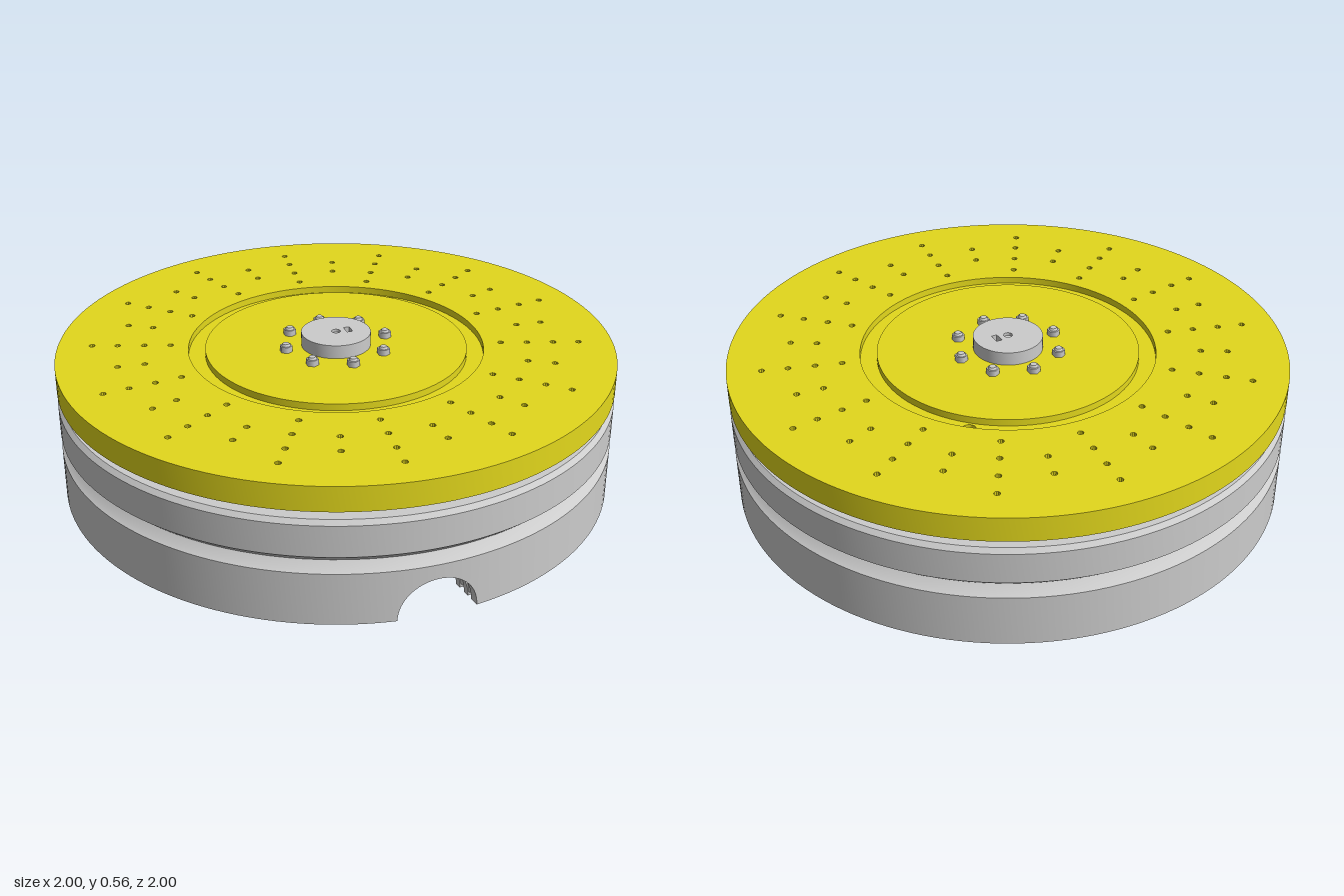
import * as THREE from 'three';
import { mergeGeometries, toCreasedNormals } from 'three/addons/utils/BufferGeometryUtils.js';

const mat = (color) => new THREE.MeshStandardMaterial({ color });

// Points of a circle, for outlines and holes
function ring(r, n, cx = 0, cy = 0) {
  return Array.from({ length: n }, (_, i) => {
    const a = (i / n) * Math.PI * 2;
    return new THREE.Vector2(cx + r * Math.cos(a), cy + r * Math.sin(a));
  });
}

// Flat plate lying in xz, from y0 to y1, with holes given as point lists
function plate(outline, holes, y0, y1) {
  const shape = new THREE.Shape(outline);
  holes.forEach((h) => shape.holes.push(new THREE.Path(h)));
  const g = new THREE.ExtrudeGeometry(shape, { depth: y1 - y0, bevelEnabled: false });
  g.rotateX(-Math.PI / 2).translate(0, y0, 0);
  return toCreasedNormals(g, 0.5);
}

export function createModel() {
  const model = new THREE.Group();
  const grey = mat(0xcccccc);
  const yellow = mat(0xe3d81c);
  const black = mat(0x222222);
  const tan = mat(0xdcb86c);

  function add(name, geometry, material, parent = model) {
    const mesh = new THREE.Mesh(geometry, material);
    mesh.name = name;
    parent.add(mesh);
    return mesh;
  }
  function cyl(name, r, y0, y1, x, z, material = grey, sides = 20, rTop = r) {
    const m = add(name, new THREE.CylinderGeometry(rTop, r, y1 - y0, sides), material);
    m.position.set(x, (y0 + y1) / 2, z);
    return m;
  }

  // Base housing: turned profile with a V groove and an arched cable opening in front
  const profile = [
    [0, 0.24], [0.87, 0.24], [0.87, 0], [0.895, 0], [0.895, 0.018], [0.92, 0.018], [0.92, 0],
    [0.945, 0], [0.945, 0.018], [0.965, 0.018], [0.965, 0], [1, 0], [1, 0.19], [0.985, 0.2],
    [0.967, 0.222], [1, 0.252], [1, 0.365], [0.985, 0.38], [0, 0.38],
  ].map(([r, y]) => new THREE.Vector2(r, y));
  const archR = 0.137;
  const archSteps = 36;
  const front = new THREE.LatheGeometry(profile, archSteps, -archR, archR * 2);
  const p = front.attributes.position;
  for (let i = 0; i < p.count; i++) {
    const column = Math.floor(i / profile.length);
    const point = profile[i % profile.length];
    const t = (column / archSteps) * Math.PI;
    const phi = -archR * Math.cos(t);
    const lift = point.y < 0.05 ? archR * Math.sin(t) : 0;
    p.setXYZ(i, point.x * Math.sin(phi), point.y + lift, point.x * Math.cos(phi));
  }
  const rest = new THREE.LatheGeometry(profile, 140, archR, Math.PI * 2 - archR * 2);
  add('baseHousing', toCreasedNormals(mergeGeometries([front, rest]), 0.4), grey);

  // Platter: drilled outer ring, groove floor and inner disc
  const drill = [];
  for (let i = 0; i < 28; i++) {
    const a = THREE.MathUtils.degToRad(5 + (i * 360) / 28);
    const radii = i % 2 ? [0.69, 0.785] : [0.595, 0.69, 0.785, 0.877];
    radii.forEach((r) => drill.push(ring(0.011, 10, r * Math.sin(a), r * Math.cos(a))));
  }
  const platter = new THREE.Group();
  platter.name = 'platter';
  model.add(platter);
  const low = 0.415, top = 0.505;
  add('outerRing', plate(ring(1, 144), [ring(0.53, 96), ...drill], low, top), yellow, platter);
  add('grooveFloor', plate(ring(0.53, 96), [ring(0.47, 96), ring(0.024, 20, 0.345, 0.365)],
    low, 0.48), yellow, platter);
  add('innerDisc', plate(ring(0.47, 96), [], low, top), yellow, platter);
  cyl('groovePin', 0.014, 0.38, 0.47, 0.345, -0.365);

  // Hub cap with centre screw and key slot, on the drive shaft
  const cap = plate(ring(0.125, 64),
    [ring(0.016, 20), [[0.035, -0.02], [0.057, -0.02], [0.057, 0.02], [0.035, 0.02]]
      .map(([x, y]) => new THREE.Vector2(x, y))], top, 0.555);
  add('hubCap', cap, grey);
  cyl('hubFloor', 0.12, 0.5, 0.53, 0, 0, grey, 48);
  cyl('driveShaft', 0.014, 0.375, 0.545, 0, 0);

  // Eight bolts around the hub, with domed heads above and nuts below,
  // repeated under the motor mount
  for (let i = 0; i < 8; i++) {
    const a = (i * Math.PI) / 4;
    const x = 0.188 * Math.sin(a), z = 0.188 * Math.cos(a);
    cyl('hubBoltHead', 0.023, top, 0.527, x, z, grey, 6);
    cyl('hubBoltTip', 0.016, 0.527, 0.535, x, z, grey, 16, 0.012);
    cyl('hubNut', 0.027, 0.396, low, x, z, grey, 6);
    cyl('mountBolt', 0.022, 0.215, 0.236, x, z, grey, 6);
    cyl('mountBoltTip', 0.014, 0.2, 0.215, x, z, grey, 16);
  }

  // Motor mount disc under the housing deck
  cyl('motorMount', 0.28, 0.234, 0.245, 0, 0, yellow, 64);

  // Motor: chamfered body with grey and black side covers and an end cap
  const h = 0.122, c = 0.1;
  const octagon = [[h, -c], [h, c], [c, h], [-c, h], [-h, c], [-h, -c], [-c, -h], [c, -h]]
    .map(([x, y]) => new THREE.Vector2(x, y));
  add('motorBody', plate(octagon, [], 0.06, 0.24), tan);
  add('motorEndCap', plate(octagon, [], 0.043, 0.08), grey);
  for (const s of [-1, 1]) {
    add('motorSideCover', new THREE.BoxGeometry(0.006, 0.19, 0.21), grey)
      .position.set(s * h, 0.14, 0);
    add('motorDarkCover', new THREE.BoxGeometry(0.21, 0.19, 0.006), black)
      .position.set(0, 0.14, s * h);
    for (const t of [-1, 1]) cyl('motorScrew', 0.014, 0.036, 0.045, s * 0.09, t * 0.09);
  }
  const boss = add('motorBoss', new THREE.TorusGeometry(0.024, 0.006, 8, 24), grey);
  boss.rotation.x = Math.PI / 2;
  boss.position.y = 0.043;

  // Screws through the housing deck
  const screws = [[0.36, -0.27], [0.33, -0.78], [-0.41, -0.34], [-0.1, -0.66],
    [-0.42, -0.2], [-0.84, -0.02], [-1.05, 0.8], [0.43, 0.18], [-0.62, 0.62]];
  screws.filter(([x, z]) => Math.hypot(x, z) < 0.83).forEach(([x, z]) => {
    cyl('deckScrew', 0.024, 0.22, 0.242, x, z, grey, 6);
    cyl('deckScrewTip', 0.015, 0.205, 0.22, x, z, grey, 12);
  });
  for (let i = 0; i < 6; i++) {
    const a = (i * Math.PI) / 3;
    cyl('deckStud', 0.02, 0.378, 0.387, 0.235 * Math.cos(a), 0.235 * Math.sin(a));
  }
  return model;
}
